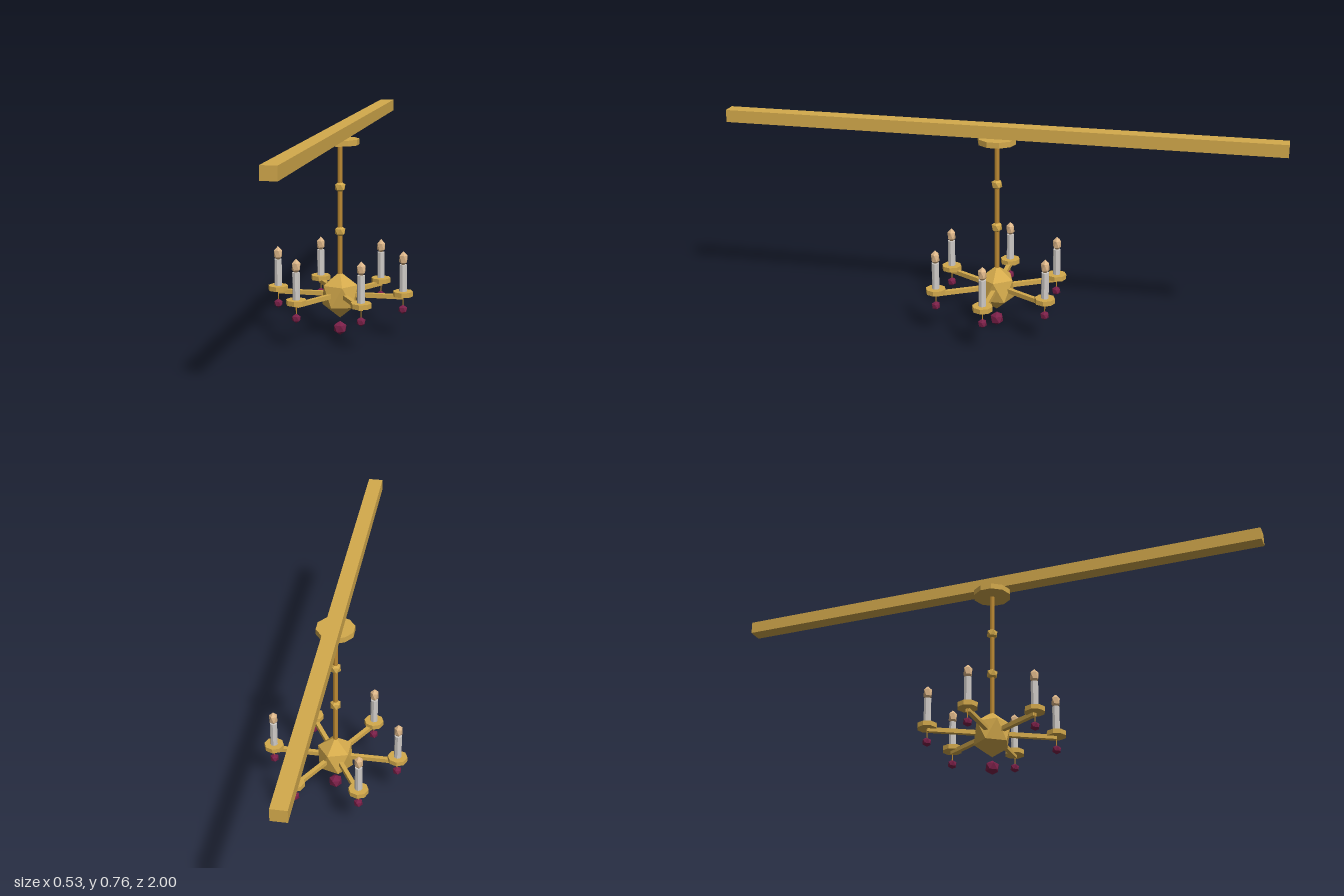
import * as THREE from 'three';
import { ConvexGeometry } from 'three/addons/geometries/ConvexGeometry.js';

const material = (name, color) => {
  const m = new THREE.MeshStandardMaterial({ color, flatShading: true });
  m.name = name;
  return m;
};

// Low-poly ball: two poles and two staggered rings of five points
function gemGeometry(rx, ry) {
  const points = [new THREE.Vector3(0, ry, 0), new THREE.Vector3(0, -ry, 0)];
  for (let i = 0; i < 10; i++) {
    const a = (i * Math.PI) / 5;
    const side = i % 2 ? -1 : 1;
    points.push(new THREE.Vector3(0.8944 * rx * Math.cos(a), 0.4472 * ry * side, 0.8944 * rx * Math.sin(a)));
  }
  return new ConvexGeometry(points);
}

// Upright prism given by its bottom and top heights
function columnGeometry(radius, bottom, top, sides) {
  return new THREE.CylinderGeometry(radius, radius, top - bottom, sides).translate(0, (bottom + top) / 2, 0);
}

export function createModel() {
  const gold = material('gold', 0xd4aa4c);
  const bronze = material('darkGold', 0xbd8a33);
  const wax = material('candleWax', 0xd0ccc8);
  const glow = material('flame', 0xdfb88a);
  const garnet = material('garnet', 0x7a2048);

  const model = new THREE.Group();
  model.name = 'chandelier';
  const add = (parent, name, geometry, mat, y = 0) => {
    const mesh = new THREE.Mesh(geometry, mat);
    mesh.name = name;
    mesh.position.y = y;
    parent.add(mesh);
    return mesh;
  };

  // Ceiling beam, canopy and hanging rod
  add(model, 'ceilingBeam', new THREE.BoxGeometry(0.054, 0.045, 2), gold, 0.743);
  add(model, 'canopy', columnGeometry(0.069, 0.699, 0.7195, 10), gold);
  add(model, 'hangingRod', columnGeometry(0.0088, 0.16, 0.71, 8), bronze);
  for (const y of [0.386, 0.547]) add(model, 'rodBead', gemGeometry(0.0215, 0.0215), gold, y);

  // Hub with the gem floating below it
  add(model, 'hub', gemGeometry(0.0727, 0.0855), gold, 0.1525);
  add(model, 'bottomGem', gemGeometry(0.0262, 0.0262), garnet, 0.0285);

  // Six arms, each with a saucer, candle, flame and hanging drop
  const radius = 0.23;
  for (let i = 0; i < 6; i++) {
    const a = (i * Math.PI) / 3;
    const branch = new THREE.Group();
    branch.name = 'branch' + (i + 1);
    model.add(branch);

    const arm = add(branch, 'arm', new THREE.BoxGeometry(radius, 0.016, 0.016).translate(radius / 2, 0, 0), gold, 0.1555);
    arm.rotation.y = -a;

    const holder = new THREE.Group();
    holder.name = 'candleHolder';
    holder.position.set(radius * Math.cos(a), 0, radius * Math.sin(a));
    branch.add(holder);
    add(holder, 'saucer', columnGeometry(0.0365, 0.159, 0.1765, 8), gold);
    add(holder, 'candle', columnGeometry(0.0137, 0.17, 0.274, 8), wax);
    add(holder, 'flame', gemGeometry(0.0172, 0.0275), glow, 0.295);
    add(holder, 'dropRod', columnGeometry(0.002, 0.115, 0.16, 6), bronze);
    add(holder, 'dropGem', gemGeometry(0.0172, 0.0172), garnet, 0.1095);
  }
  return model;
}
